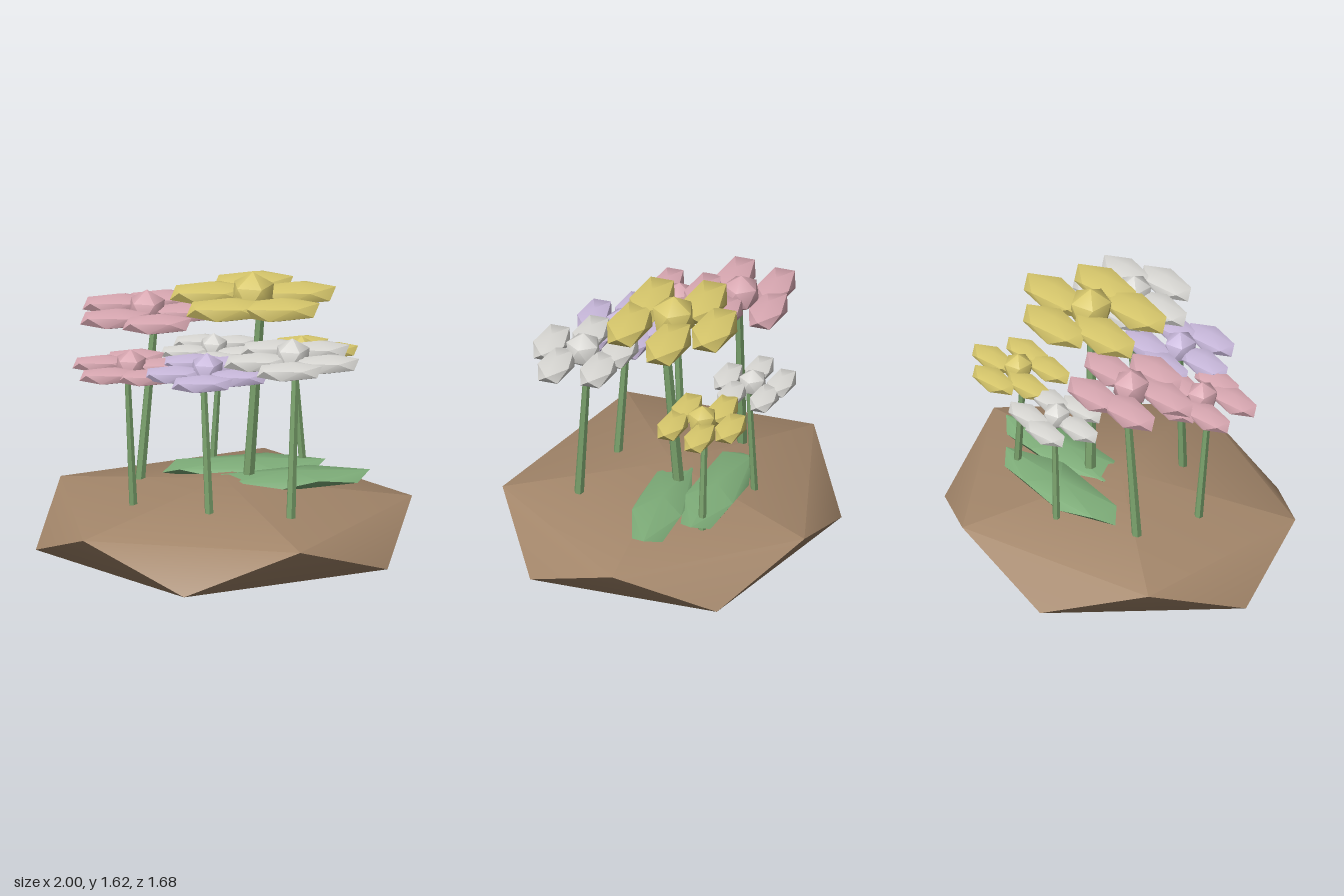
import * as THREE from 'three';
import { toCreasedNormals } from 'three/addons/utils/BufferGeometryUtils.js';

const material = (name, color) => {
  const m = new THREE.MeshStandardMaterial({ color });
  m.name = name;
  return m;
};

// Twenty-sided blob with a vertex pointing straight up, stretched to the given radii
function blob(rx, ry, rz) {
  const pos = [0, ry, 0];
  const h = 1 / Math.sqrt(5), r = 2 * h;
  for (let ring = 0; ring < 2; ring++) {
    for (let i = 0; i < 5; i++) {
      const a = ((i + ring / 2) * 2 * Math.PI) / 5;
      pos.push(rx * r * Math.cos(a), ry * (ring ? -h : h), rz * r * Math.sin(a));
    }
  }
  pos.push(0, -ry, 0);
  const index = [];
  for (let i = 0; i < 5; i++) {
    const j = (i + 1) % 5;
    const u = 1 + i, un = 1 + j, l = 6 + i, ln = 6 + j;
    index.push(0, un, u, u, un, l, un, ln, l, 11, l, ln);
  }
  const g = new THREE.BufferGeometry();
  g.setAttribute('position', new THREE.Float32BufferAttribute(pos, 3));
  g.setIndex(index);
  return toCreasedNormals(g, 0.8);
}

function addMesh(parent, name, geometry, mat, x = 0, y = 0, z = 0) {
  const m = new THREE.Mesh(geometry, mat);
  m.name = name;
  m.position.set(x, y, z);
  parent.add(m);
  return m;
}

export function createModel() {
  const model = new THREE.Group();
  model.name = 'flowerPatch';

  const soil = material('soil brown', 0xa3866a);
  const stemGreen = material('stem green', 0x7ba36d);
  const leafGreen = material('leaf green', 0x7dac78);
  const pink = material('pink', 0xd9a8b2);
  const lilac = material('lilac', 0xc9b9dc);
  const white = material('soft white', 0xdad9d5);
  const yellow = material('yellow', 0xd8c86c);

  // Mound of earth
  addMesh(model, 'mound', blob(1.118, 0.25, 0.988), soil, 0, 0.25, 0);

  // Two flat leaves lying on the mound
  const leafShape = blob(0.485, 0.047, 0.158);
  addMesh(model, 'frontLeaf', leafShape, leafGreen, 0.355, 0.46, -0.065).rotation.y = 0.09;
  addMesh(model, 'backLeaf', leafShape, leafGreen, 0.14, 0.46, -0.295);

  // Flowers: head position, core radius, turn of the petal ring in degrees,
  // then the stem's x and z at its foot and at its top
  const flowers = [
    { mat: pink, at: [-0.51, 1.195, 0.128], r: 0.09, turn: -4, foot: [-0.495, 0.115], top: [-0.532, 0.158] },
    { mat: pink, at: [-0.38, 1.372, -0.26], r: 0.107, turn: 9.5, foot: [-0.417, -0.252], top: [-0.335, -0.26] },
    { mat: lilac, at: [-0.126, 1.22, 0.315], r: 0.095, turn: 33, foot: [-0.117, 0.34], top: [-0.145, 0.293] },
    { mat: white, at: [-0.003, 1.073, -0.45], r: 0.08, turn: 30, foot: [-0.008, -0.456], top: [0.03, -0.438] },
    { mat: yellow, at: [0.161, 1.5, -0.064], r: 0.125, turn: -11.5, foot: [0.137, -0.088], top: [0.2, -0.02] },
    { mat: white, at: [0.32, 1.302, 0.386], r: 0.102, turn: 29.5, foot: [0.308, 0.414], top: [0.342, 0.353] },
    { mat: yellow, at: [0.45, 1.08, -0.32], r: 0.085, turn: -13, foot: [0.458, -0.32], top: [0.408, -0.32] },
  ];

  for (const { mat, at, r, turn, foot, top } of flowers) {
    const flower = new THREE.Group();
    flower.name = 'flower';
    model.add(flower);

    // Leaning, tapered stem
    const a = new THREE.Vector3(foot[0], 0.41, foot[1]);
    const b = new THREE.Vector3(top[0], at[1] - 0.2 * r, top[1]);
    const dir = b.clone().sub(a);
    const stemShape = new THREE.CylinderGeometry(0.19 * r, 0.26 * r, dir.length(), 6).toNonIndexed();
    stemShape.computeVertexNormals();
    const mid = a.clone().add(b).multiplyScalar(0.5);
    const stem = addMesh(flower, 'stem', stemShape, stemGreen, mid.x, mid.y, mid.z);
    stem.quaternion.setFromUnitVectors(new THREE.Vector3(0, 1, 0), dir.normalize());

    // Round core with five long petals, all lying the same way
    addMesh(flower, 'core', blob(r, r, r), mat, ...at);
    const petalShape = blob(1.92 * r, 0.52 * r, 0.98 * r);
    for (let i = 0; i < 5; i++) {
      const t = THREE.MathUtils.degToRad(turn + i * 72);
      addMesh(flower, 'petal', petalShape, mat,
        at[0] + 1.9 * r * Math.cos(t), at[1] - 0.16 * r, at[2] + 1.9 * r * Math.sin(t));
    }
  }
  return model;
}
